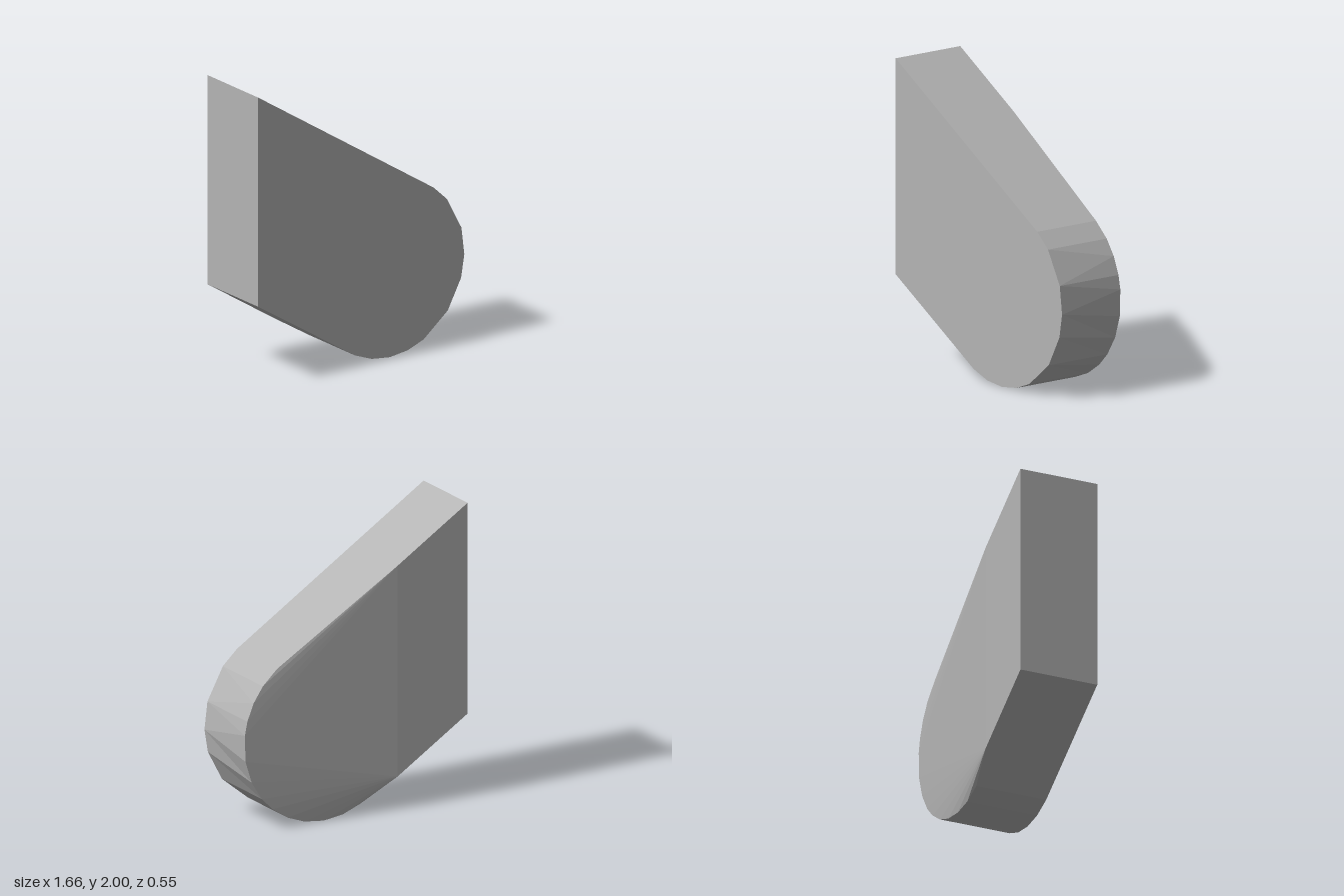
import * as THREE from 'three';

const FRONT_Z = 0.275, BACK_Z = -0.275, RIM_Z = -0.225;

// point on the rounded nose, angle in degrees
function nosePoint(deg, z) {
  const a = THREE.MathUtils.degToRad(deg);
  return new THREE.Vector3(0.23 + 0.6 * Math.cos(a), 0.603 + 0.603 * Math.sin(a), z);
}

function createBlockGeometry() {
  const v = (x, y, z) => new THREE.Vector3(x, y, z);

  // matching outlines, clockwise from the upper left; repeated angles merge facets
  const frontAngles = [54, 40, 16, 16, -2, -2, -17, -39, -39, -63, -76, -90, -104, -118];
  const backAngles = [54, 40, 28, 16, 7, -10, -25, -39, -50, -63, -76, -90, -104, -118];
  const frontArc = frontAngles.map((a) => nosePoint(a, FRONT_Z));
  const backArc = backAngles.map((a) => nosePoint(a, RIM_Z));

  const creaseTop = v(-0.3, 1.66, BACK_Z), creaseBottom = v(-0.3, 0.225, BACK_Z);
  const frontTop = v(-0.83, 2, FRONT_Z), frontBottom = v(-0.83, 0.565, FRONT_Z);
  const backTop = v(-0.83, 2, BACK_Z), backBottom = v(-0.83, 0.565, BACK_Z);
  const front = [frontTop, frontTop, ...frontArc, frontBottom, frontBottom];
  const back = [backTop, creaseTop, ...backArc, creaseBottom, backBottom];

  const positions = [];
  const tri = (a, b, c) => {
    if (a.equals(b) || b.equals(c) || a.equals(c)) return;
    for (const p of [a, b, c]) positions.push(p.x, p.y, p.z);
  };

  // flat front
  for (let i = 1; i < front.length - 1; i++) tri(frontTop, front[i + 1], front[i]);

  // side wall all the way around
  for (let i = 0; i < front.length; i++) {
    const j = (i + 1) % front.length;
    tri(front[i], front[j], back[j]);
    tri(front[i], back[j], back[i]);
  }

  // flat part of the back
  tri(backTop, creaseTop, creaseBottom);
  tri(backTop, creaseBottom, backBottom);

  // tapered part of the back: one large facet with a fan above and below
  const middle = 4;
  tri(creaseTop, backArc[middle], creaseBottom);
  for (let i = 0; i < backArc.length - 1; i++) {
    tri(i < middle ? creaseTop : creaseBottom, backArc[i], backArc[i + 1]);
  }

  const geometry = new THREE.BufferGeometry();
  geometry.setAttribute('position', new THREE.Float32BufferAttribute(positions, 3));
  geometry.computeVertexNormals();
  return geometry;
}

export function createModel() {
  const group = new THREE.Group();
  group.name = 'roundedBlock';

  const grey = new THREE.MeshStandardMaterial({ color: 0xb4b4b4, flatShading: true });
  grey.name = 'grey';

  const block = new THREE.Mesh(createBlockGeometry(), grey);
  block.name = 'block';
  group.add(block);
  return group;
}
